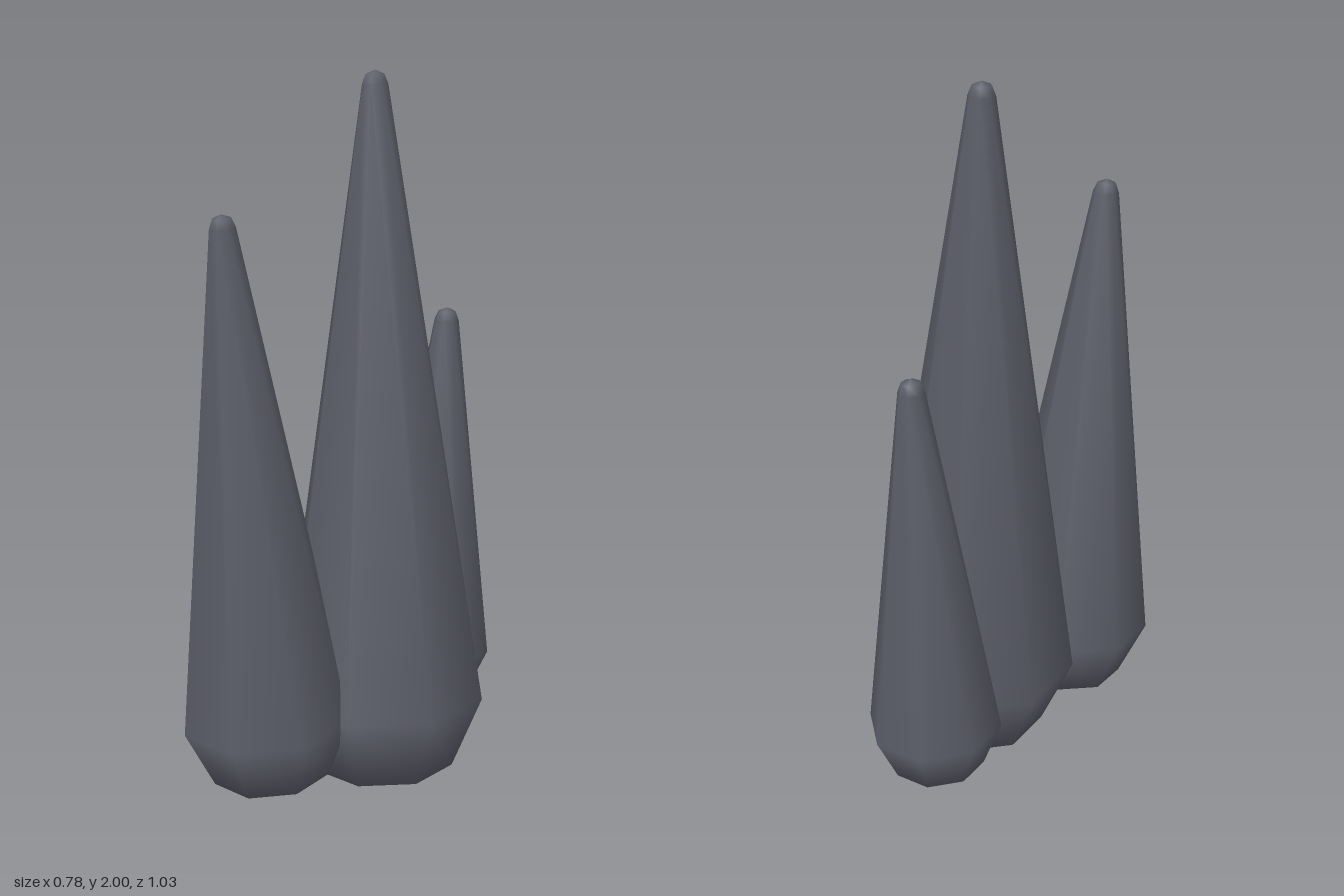
import * as THREE from 'three';

const SIDES = 8;
const TIP_RADIUS = 0.036;

// Tapered spire: a coarse hemisphere below, a straight taper, a small rounded tip.
function makeSpire(name, base, tip, radius, material) {
  const axis = new THREE.Vector3().subVectors(tip, base);
  const length = axis.length();
  const profile = [];
  for (const a of [-90, -45, 0]) {
    const t = THREE.MathUtils.degToRad(a);
    profile.push(new THREE.Vector2(a === -90 ? 0 : radius * Math.cos(t), radius * Math.sin(t)));
  }
  for (const a of [0, 45, 90]) {
    const t = THREE.MathUtils.degToRad(a);
    profile.push(new THREE.Vector2(a === 90 ? 0 : TIP_RADIUS * Math.cos(t), length + TIP_RADIUS * Math.sin(t)));
  }
  const spire = new THREE.Mesh(new THREE.LatheGeometry(profile, SIDES), material);
  spire.name = name;
  spire.position.copy(base);
  // Lean the spire along its own axis
  spire.quaternion.setFromUnitVectors(new THREE.Vector3(0, 1, 0), axis.normalize());
  return spire;
}

export function createModel() {
  const model = new THREE.Group();
  model.name = 'rockSpires';
  const stone = new THREE.MeshStandardMaterial({ color: 0x5b5d68 });
  stone.name = 'slateStone';

  // name, base centre, tip centre, base radius
  const spires = [
    ['tallSpire', [0.094, 0.299, 0.02], [0.046, 1.964, -0.051], 0.295],
    ['frontSpire', [-0.152, 0.3, 0.274], [-0.22, 1.628, 0.342], 0.239],
    ['backSpire', [0.132, 0.3, -0.33], [0.166, 1.295, -0.356], 0.186],
  ];
  for (const [name, base, tip, radius] of spires) {
    model.add(makeSpire(name, new THREE.Vector3(...base), new THREE.Vector3(...tip), radius, stone));
  }
  return model;
}
